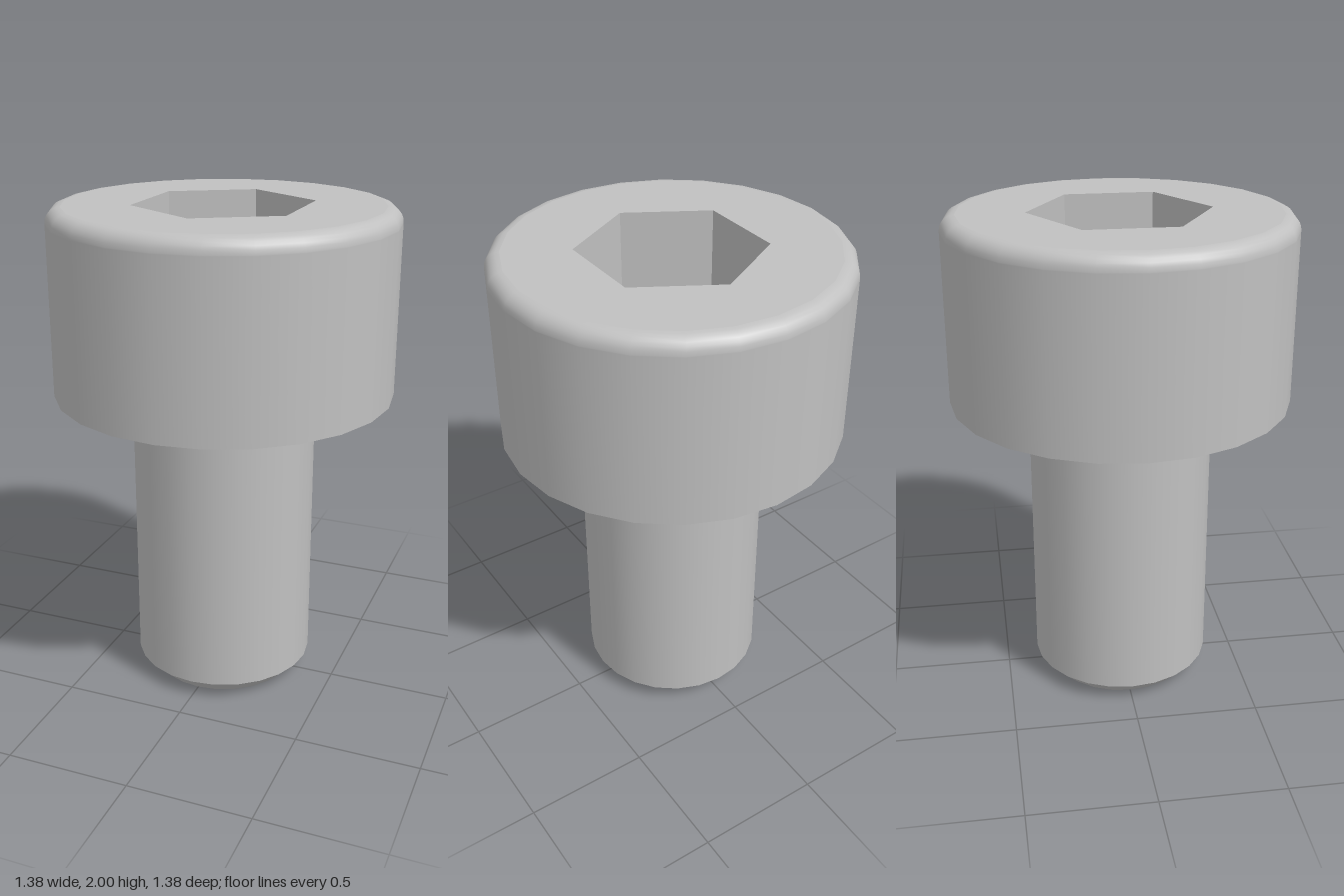
import * as THREE from 'three';

const SIDES = 24;
const HEAD_R = 0.6875, HEAD_BOTTOM = 1.25, TOP = 2, FILLET = 0.06;
const SHANK_R = 0.373, TIP_R = 0.3, CHAMFER = 0.07;
const FLAT = 0.3135, CORNER = FLAT / Math.cos(Math.PI / 6), DEPTH = 0.33;

export function createModel() {
  const model = new THREE.Group();
  const steel = new THREE.MeshStandardMaterial({ color: 0xc0c0c0 });
  steel.name = 'steel';

  const add = (name, geometry, parent = model) => {
    const mesh = new THREE.Mesh(geometry, steel);
    mesh.name = name;
    parent.add(mesh);
    return mesh;
  };
  // Each turned surface is its own lathe, so the edges between them stay sharp
  const turned = (points, sides = SIDES) =>
    new THREE.LatheGeometry(points.map(([r, y]) => new THREE.Vector2(r, y)), sides);

  // Shank with chamfered tip
  add('tipFace', turned([[0, 0], [TIP_R, 0]]));
  add('tipChamfer', turned([[TIP_R, 0], [SHANK_R, CHAMFER]]));
  add('shank', turned([[SHANK_R, CHAMFER], [SHANK_R, HEAD_BOTTOM]]));

  // Head with rounded upper rim
  add('headUnderside', turned([[SHANK_R, HEAD_BOTTOM], [HEAD_R, HEAD_BOTTOM]]));
  const rim = [[HEAD_R, HEAD_BOTTOM], [HEAD_R, TOP - FILLET - 0.004]];
  for (let i = 0; i <= 6; i++) {
    const a = (i / 6) * Math.PI / 2;
    rim.push([HEAD_R - FILLET + FILLET * Math.cos(a), TOP - FILLET + FILLET * Math.sin(a)]);
  }
  add('headSide', turned(rim));

  // Flat top ring with a hexagonal opening
  const polygon = (radius, sides, start) => Array.from({ length: sides }, (_, i) => {
    const a = start + (i / sides) * Math.PI * 2;
    return new THREE.Vector2(radius * Math.cos(a), radius * Math.sin(a));
  });
  const face = new THREE.Shape(polygon(HEAD_R - FILLET, SIDES, 0));
  face.holes.push(new THREE.Path(polygon(CORNER, 6, Math.PI / 2)));
  add('headTop', new THREE.ShapeGeometry(face).rotateX(-Math.PI / 2).translate(0, TOP, 0));

  // Hex socket: six inward-facing walls and a conical floor
  const socket = new THREE.Group();
  socket.name = 'hexSocket';
  model.add(socket);
  for (let i = 0; i < 6; i++) {
    add('socketWall', new THREE.PlaneGeometry(CORNER, DEPTH)
      .translate(0, TOP - DEPTH / 2, -FLAT)
      .rotateY(Math.PI / 6 + i * Math.PI / 3), socket);
  }
  const floorY = TOP - DEPTH;
  add('socketFloor', turned([[CORNER, floorY], [0, floorY - CORNER * Math.tan(Math.PI / 6)]], 6), socket);

  return model;
}
